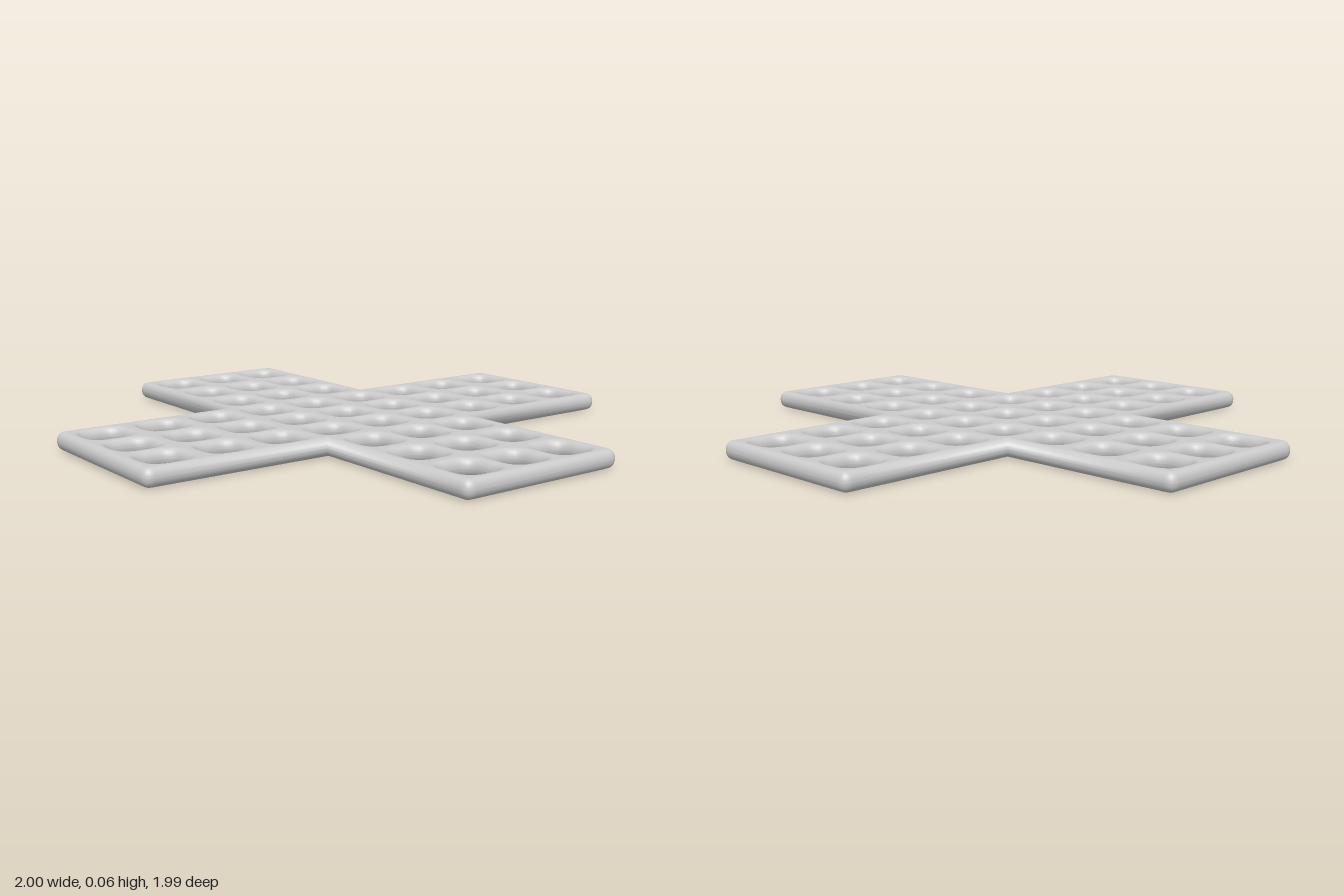
import * as THREE from 'three';
import { mergeVertices } from 'three/addons/utils/BufferGeometryUtils.js';

const THICKNESS = 0.064, BEVEL = 0.026;

// Soft square opening (superellipse) centred on (cx, cy)
function softSquare(cx, cy, hw, hh, n = 3.8, count = 40) {
  const pts = [];
  for (let i = 0; i < count; i++) {
    const a = (i / count) * Math.PI * 2, c = Math.cos(a), s = Math.sin(a);
    const r = Math.pow(Math.abs(c) ** n + Math.abs(s) ** n, -1 / n);
    pts.push(new THREE.Vector2(cx + hw * r * c, cy + hh * r * s));
  }
  return new THREE.Path(pts);
}

// Plus-shaped outline with slightly rounded arm tips
function crossOutline(lx, ly, w, r) {
  const s = new THREE.Shape();
  s.moveTo(w, w);
  s.lineTo(w, ly - r); s.quadraticCurveTo(w, ly, w - r, ly);
  s.lineTo(-w + r, ly); s.quadraticCurveTo(-w, ly, -w, ly - r);
  s.lineTo(-w, w);
  s.lineTo(-lx + r, w); s.quadraticCurveTo(-lx, w, -lx, w - r);
  s.lineTo(-lx, -w + r); s.quadraticCurveTo(-lx, -w, -lx + r, -w);
  s.lineTo(-w, -w);
  s.lineTo(-w, -ly + r); s.quadraticCurveTo(-w, -ly, -w + r, -ly);
  s.lineTo(w - r, -ly); s.quadraticCurveTo(w, -ly, w, -ly + r);
  s.lineTo(w, -w);
  s.lineTo(lx - r, -w); s.quadraticCurveTo(lx, -w, lx, -w + r);
  s.lineTo(lx, w - r); s.quadraticCurveTo(lx, w, lx - r, w);
  s.closePath();
  return s;
}

export function createModel() {
  const group = new THREE.Group();
  const shape = crossOutline(1, 0.996, 0.328, 0.036);

  for (const row of [-0.2, 0, 0.2]) {
    // Openings along the front-back strip, through the centre
    for (const v of [-0.865, -0.648, -0.432, -0.216, 0, 0.216, 0.432, 0.648, 0.865])
      shape.holes.push(softSquare(row, v, 0.072, 0.073));
    // Openings in the two side arms
    for (const u of [0.416, 0.64, 0.866])
      for (const side of [-1, 1])
        shape.holes.push(softSquare(side * u, row, 0.077, 0.072));
  }

  // Plate with fully rounded rims and bars
  const depth = 0.002;
  let geo = new THREE.ExtrudeGeometry(shape, {
    depth, curveSegments: 6, bevelEnabled: true, bevelSegments: 7,
    bevelThickness: (THICKNESS - depth) / 2, bevelSize: BEVEL, bevelOffset: -BEVEL,
  });
  geo.deleteAttribute('uv');
  geo.deleteAttribute('normal');
  geo = mergeVertices(geo, 1e-5);
  geo.rotateX(-Math.PI / 2);
  geo.computeBoundingBox();
  geo.translate(0, -geo.boundingBox.min.y, 0);
  geo.computeVertexNormals();

  const plate = new THREE.Mesh(geo, new THREE.MeshStandardMaterial({ color: 0xcccccc }));
  plate.name = 'perforatedCrossPlate';
  group.add(plate);
  return group;
}
